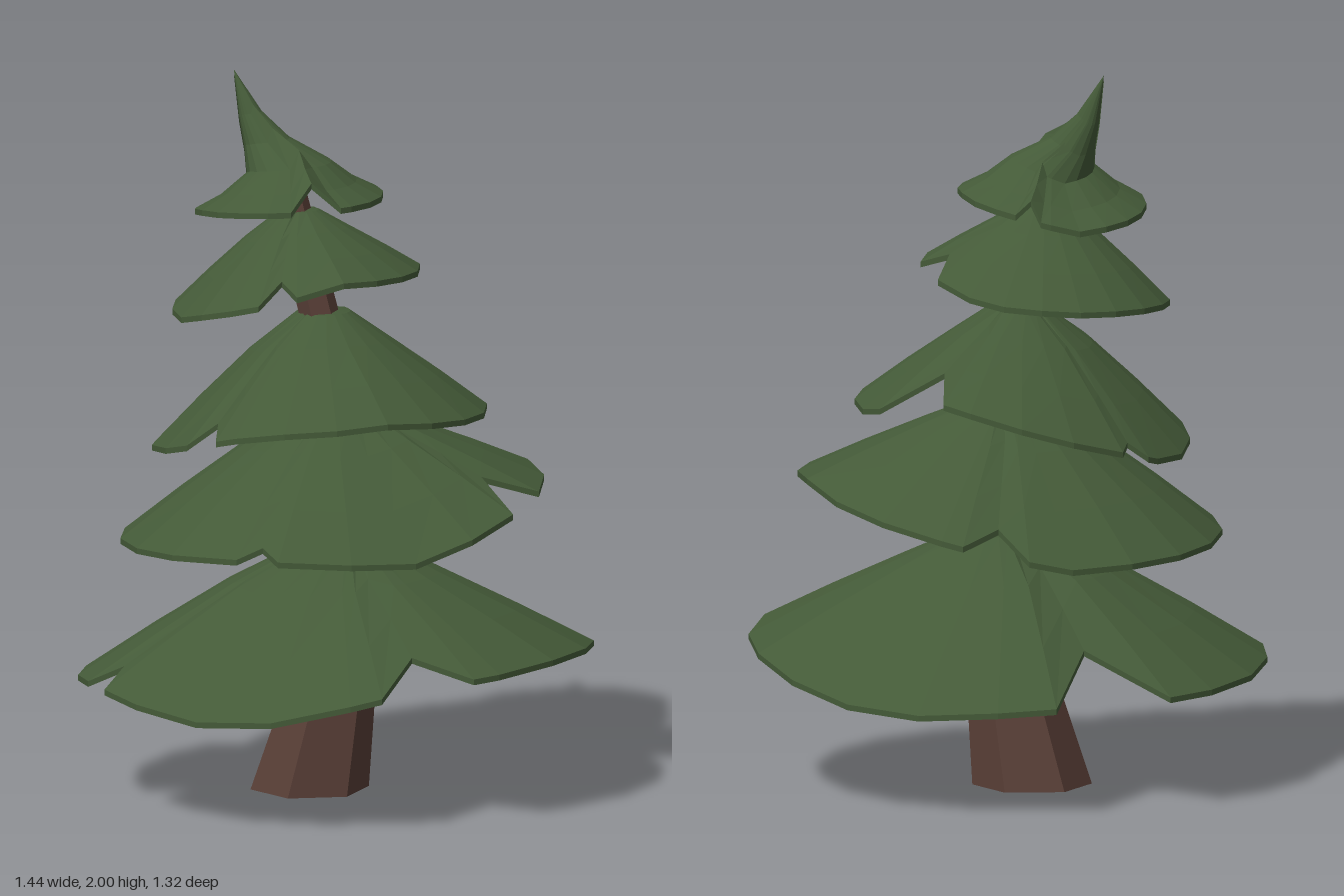
import * as THREE from 'three';

// Flat-shaded geometry from a list of triangles, each with three Vector3 corners
function facets(tris) {
  const g = new THREE.BufferGeometry().setFromPoints(tris.flat());
  g.computeVertexNormals();
  return g;
}

// Two triangles between neighbouring points of two rings
const quad = (a, b, c, d) => [[a, b, c], [a, c, d]];

// Foliage profiles: [share of the radius, share of the height above the rim]
const DOME = [[0.16, 0.97], [0.42, 0.7], [0.72, 0.35], [1, 0]];
const SPIRE = [[0.12, 0.66], [0.24, 0.45], [0.45, 0.27], [0.72, 0.11], [1, 0]];

// Height of a wavy rim, blended between its eight evenly spaced values
function rimHeight(heights, degrees) {
  const s = ((degrees + 360) % 360) / 45;
  const i = Math.floor(s);
  return THREE.MathUtils.lerp(heights[i], heights[(i + 1) % 8], s - i);
}

// Oval rim from the +x side round the front, with notches of [angle, depth, half width]
function rimPoints({ apex, centre, radii, heights, notches }) {
  const gap = (a, b) => Math.abs(((a - b + 540) % 360) - 180);
  const corners = [];
  for (let a = 0; a < 360; a += 18) {
    if (notches.every(([at, , width]) => gap(a, at) > width + 4)) corners.push([a, 0]);
  }
  for (const [at, depth, width] of notches) {
    corners.push([(at - width + 360) % 360, 0], [at, depth], [(at + width) % 360, 0]);
  }
  corners.sort((p, q) => p[0] - q[0]);
  return corners.map(([a, depth]) => {
    const rad = THREE.MathUtils.degToRad(a);
    const y = rimHeight(heights, a);
    return new THREE.Vector3(
      centre[0] + radii[0] * (1 - depth) * Math.cos(rad),
      y + (apex[1] - y) * depth,
      centre[1] + radii[1] * (1 - depth) * Math.sin(rad));
  });
}

// Thin drooping shell of foliage: rings run from the apex out to the rim
function boughGeometry(tier, thickness) {
  const { apex, centre, profile } = tier;
  const tip = new THREE.Vector3(...apex);
  const rim = rimPoints(tier);
  const rings = profile.map(([t, h]) => rim.map((p) => {
    const s = Math.min(1, t * 2.5);
    return new THREE.Vector3(
      THREE.MathUtils.lerp(tip.x, centre[0], s) + (p.x - centre[0]) * t,
      THREE.MathUtils.lerp(p.y, tip.y, h),
      THREE.MathUtils.lerp(tip.z, centre[1], s) + (p.z - centre[1]) * t);
  }));
  const lower = (p) => new THREE.Vector3(p.x, p.y - thickness, p.z);
  const edge = rings[rings.length - 1];
  const tris = [];
  for (let i = 0; i < rim.length; i++) {
    const j = (i + 1) % rim.length;
    const top = [[tip, rings[0][j], rings[0][i]]];
    for (let k = 0; k + 1 < rings.length; k++) {
      top.push(...quad(rings[k][i], rings[k][j], rings[k + 1][j], rings[k + 1][i]));
    }
    // upper side, underside and rim edge
    tris.push(...top);
    tris.push(...top.map(([a, b, c]) => [lower(a), lower(c), lower(b)]));
    tris.push(...quad(edge[i], edge[j], lower(edge[j]), lower(edge[i])));
  }
  return facets(tris);
}

// Bent six-sided trunk from sections of [x, y, z, radius]
function trunkGeometry(sections) {
  const rings = sections.map(([x, y, z, r]) => Array.from({ length: 6 }, (_, i) => {
    const a = (i / 6) * Math.PI * 2 + 0.25;
    return new THREE.Vector3(x + r * Math.cos(a), y, z + r * Math.sin(a));
  }));
  const end = rings.length - 1;
  const tris = [];
  for (let i = 0; i < 6; i++) {
    const j = (i + 1) % 6;
    for (let k = 0; k < end; k++) {
      tris.push(...quad(rings[k][i], rings[k + 1][i], rings[k + 1][j], rings[k][j]));
    }
    // closed ends
    const [bottom, top] = [sections[0], sections[end]].map(([x, y, z]) => new THREE.Vector3(x, y, z));
    tris.push([bottom, rings[0][i], rings[0][j]], [top, rings[end][j], rings[end][i]]);
  }
  return facets(tris);
}

const TIERS = [
  { name: 'lowestBough', profile: DOME, apex: [0.04, 0.71, 0], centre: [0, 0.01], radii: [0.72, 0.665],
    heights: [0.39, 0.44, 0.42, 0.3, 0.36, 0.32, 0.31, 0.28],
    notches: [[90, 0.19, 11], [180, 0.12, 5], [261, 0.3, 14]] },
  { name: 'secondBough', profile: DOME, apex: [0.03, 1.08, -0.04], centre: [0.01, -0.04], radii: [0.585, 0.595],
    heights: [0.88, 0.86, 0.74, 0.75, 0.72, 0.7, 0.69, 0.79],
    notches: [[46, 0.24, 9], [134, 0.08, 6], [291, 0.16, 9]] },
  { name: 'middleBough', profile: DOME, apex: [0, 1.35, -0.06], centre: [-0.02, -0.06], radii: [0.46, 0.485],
    heights: [1.07, 1.08, 1.11, 1.08, 0.99, 0.94, 1.03, 1.13],
    notches: [[159, 0.15, 7], [245, 0.08, 6], [331, 0.32, 15]] },
  { name: 'fourthBough', profile: DOME, apex: [-0.06, 1.63, -0.1], centre: [-0.08, -0.08], radii: [0.345, 0.335],
    heights: [1.46, 1.47, 1.48, 1.41, 1.35, 1.36, 1.37, 1.39],
    notches: [[0, 0.2, 14], [121, 0.22, 9]] },
  { name: 'topBough', profile: SPIRE, apex: [-0.2, 2, -0.24], centre: [-0.09, -0.11], radii: [0.26, 0.265],
    heights: [1.67, 1.67, 1.67, 1.66, 1.64, 1.61, 1.59, 1.64],
    notches: [[96, 0.2, 16], [302, 0.12, 8]] },
];

export function createModel() {
  const needles = new THREE.MeshStandardMaterial({ color: 0x445a38 });
  needles.name = 'needle green';
  const bark = new THREE.MeshStandardMaterial({ color: 0x593f37 });
  bark.name = 'bark brown';

  const tree = new THREE.Group();
  tree.name = 'tree';

  const trunk = new THREE.Mesh(trunkGeometry([
    [-0.045, 0, -0.07, 0.165], [0.02, 0.4, -0.015, 0.11], [0.06, 0.7, 0.025, 0.08],
    [0.02, 1.1, -0.01, 0.06], [-0.04, 1.4, -0.055, 0.055], [-0.1, 1.72, -0.11, 0.045],
  ]), bark);
  trunk.name = 'trunk';
  tree.add(trunk);

  for (const tier of TIERS) {
    const mesh = new THREE.Mesh(boughGeometry(tier, 0.016), needles);
    mesh.name = tier.name;
    tree.add(mesh);
  }
  return tree;
}
